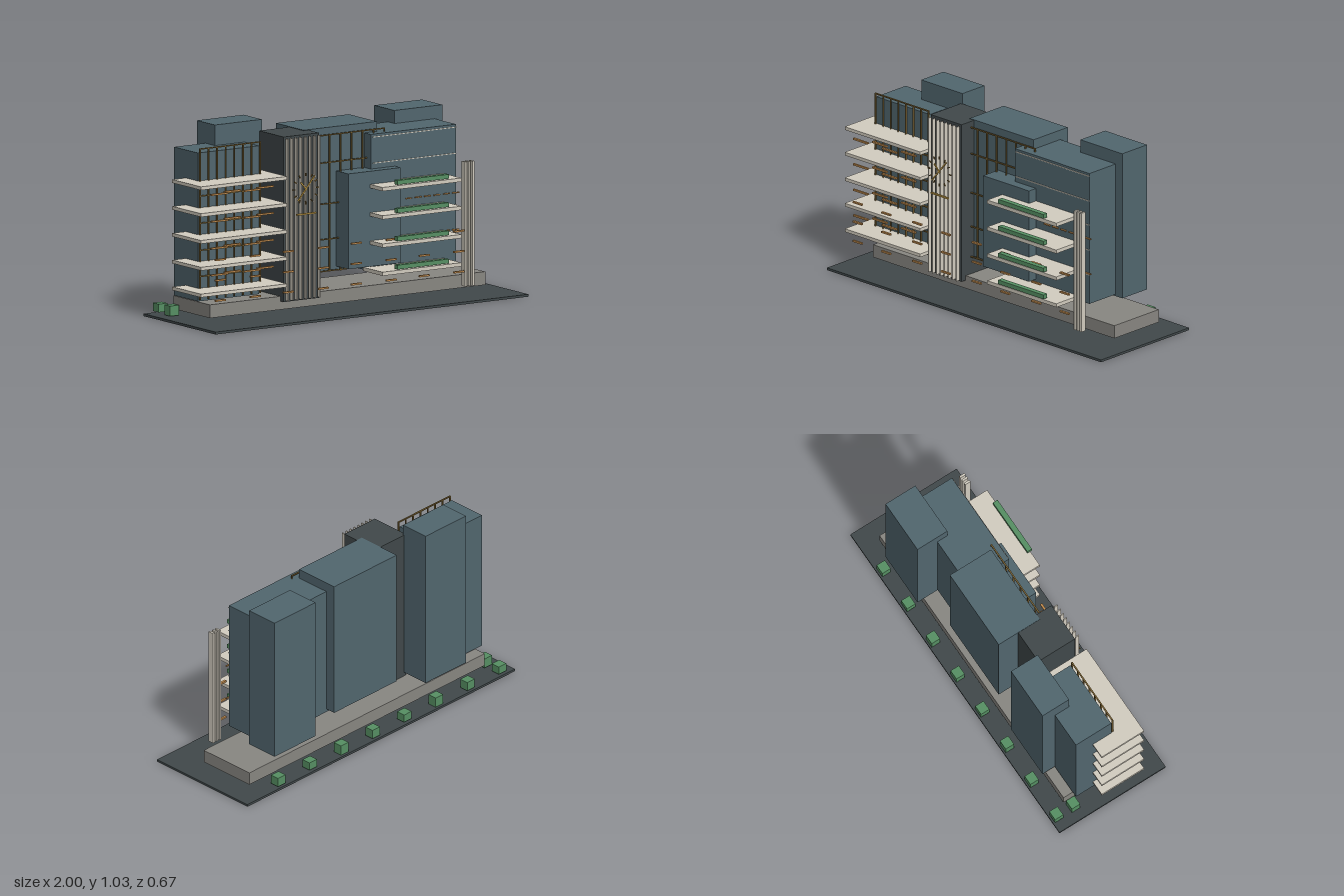
import * as THREE from 'three';

const mat = (color) => new THREE.MeshStandardMaterial({ color });
const GLASS = mat(0x51666e), STONE = mat(0xd2ccbf), DARK = mat(0x40484a), GREY = mat(0x888681);
const GREEN = mat(0x568f63), BRONZE = mat(0x7d6535), GOLD = mat(0xc9a24a), WOOD = mat(0xc28d50);

export function createModel() {
  const model = new THREE.Group();

  // box from its lower and upper limits on each axis
  const block = (name, m, x0, x1, y0, y1, z0, z1, parent = model) => {
    const mesh = new THREE.Mesh(new THREE.BoxGeometry(x1 - x0, y1 - y0, z1 - z0), m);
    mesh.position.set((x0 + x1) / 2, (y0 + y1) / 2, (z0 + z1) / 2);
    mesh.name = name;
    parent.add(mesh);
    return mesh;
  };
  // box from its centre and size
  const bar = (name, m, x, y, z, w, h, d, parent = model) =>
    block(name, m, x - w / 2, x + w / 2, y - h / 2, y + h / 2, z - d / 2, z + d / 2, parent);
  const group = (name) => {
    const g = new THREE.Group();
    g.name = name;
    model.add(g);
    return g;
  };

  // site and podium
  block('groundSlab', DARK, -1, 1, 0, 0.013, -0.335, 0.335);
  block('podium', GREY, -0.88, 0.88, 0.042, 0.113, -0.23, 0.108);

  // building volumes
  block('westBlock', GLASS, -0.915, -0.525, 0.126, 0.92, -0.175, 0.048);
  block('westRearBlock', GLASS, -0.715, -0.415, 0.136, 1.03, -0.254, -0.086);
  block('clockTower', DARK, -0.43, -0.205, 0.087, 0.97, -0.092, 0.139);
  block('centreBlock', GLASS, -0.237, 0.23, 0.205, 0.973, -0.215, 0.045);
  block('centreFrontBlock', GLASS, -0.03, 0.305, 0.225, 0.735, 0, 0.158);
  block('eastBlock', GLASS, 0.15, 0.695, 0.187, 0.92, -0.157, 0.105);
  block('eastRearBlock', GLASS, 0.438, 0.744, 0.177, 0.99, -0.282, -0.094);

  // west balconies with staggered wooden screens below
  const west = group('westBalconies');
  for (let i = 0; i < 5; i++) {
    const y = 0.187 + i * 0.1435;
    block('westBalcony', STONE, -1, -0.45, y - 0.009, y + 0.009, -0.068, 0.199, west);
    if (i === 0) continue;
    for (let k = 0; k < 4; k++)
      bar('balconyScreen', WOOD, -0.882 + k * 0.105, y - 0.041, k % 2 ? 0.165 : 0.2, 0.105, 0.009, 0.012, west);
  }

  // east balconies with planters
  const east = group('eastBalconies');
  for (let i = 0; i < 4; i++) {
    const y = 0.202 + i * 0.151;
    block('eastBalcony', STONE, 0.11, 0.614, y - 0.01, y + 0.01, 0.09, 0.273, east);
    bar('planter', GREEN, 0.364, y + 0.028, 0.268, 0.33, 0.023, 0.029, east);
  }

  // curtain wall grids: vertical mullions and horizontal rails
  const grid = (name, x0, x1, n, y0, y1, z, rails) => {
    const g = group(name);
    for (let i = 0; i < n; i++)
      block('mullion', BRONZE, x0 + (x1 - x0) * i / (n - 1) - 0.003, x0 + (x1 - x0) * i / (n - 1) + 0.003, y0, y1, z - 0.004, z + 0.004, g);
    for (const y of rails) block('rail', BRONZE, x0, x1, y - 0.003, y + 0.003, z - 0.004, z + 0.004, g);
  };
  grid('westCurtainWall', -0.91, -0.525, 8, 0.135, 0.945, 0.058, [0.942, 0.69, 0.545, 0.4, 0.26]);
  grid('centreCurtainWall', -0.228, 0.262, 8, 0.205, 0.94, 0.068, [0.937, 0.79, 0.57, 0.38, 0.21]);

  // string courses on the east block
  const courses = group('eastStringCourses');
  for (const y of [0.905, 0.765, 0.63, 0.49, 0.35])
    block('stringCourse', STONE, 0.16, 0.695, y - 0.002, y + 0.002, 0.105, 0.11, courses);
  for (const y of [0.555, 0.358])
    for (let i = 0; i < 6; i++) bar('trim', WOOD, 0.39 + i * 0.06, y, 0.11, 0.04, 0.006, 0.008, courses);

  // tower fins
  const fins = group('towerFins');
  for (let i = 0; i < 8; i++) bar('fin', STONE, -0.42 + i * 0.029, 0.528, 0.158, 0.006, 0.866, 0.022, fins);

  // clock face: ticks, hands and a bar below
  const clock = group('clock');
  clock.position.set(-0.322, 0.69, 0.186);
  for (let i = 0; i < 12; i++) {
    const a = i * Math.PI / 6;
    const tick = bar('tick', BRONZE, Math.sin(a) * 0.076, Math.cos(a) * 0.076, 0, 0.006, 0.016, 0.006, clock);
    tick.rotation.z = -a;
  }
  const hand = (name, angle, length, back) => {
    const h = bar(name, GOLD, Math.sin(angle) * (length - back) / 2, Math.cos(angle) * (length - back) / 2,
      0.004, 0.007, length + back, 0.006, clock);
    h.rotation.z = -angle;
  };
  hand('minuteHand', 0.7, 0.085, 0.08);
  hand('hourHand', -0.75, 0.05, 0.01);
  bar('clockBar', GOLD, 0.003, -0.135, 0, 0.125, 0.008, 0.01, clock);

  // slender columns at the east end
  const columns = group('eastColumns');
  for (const x of [0.686, 0.709, 0.732])
    block('column', STONE, x - 0.006, x + 0.006, 0.068, 0.735, 0.179, 0.212, columns);

  // floating wooden slats along the front
  const slats = group('frontSlats');
  for (let r = 0; r < 3; r++)
    for (let i = 0; i < 8; i++)
      bar('slat', WOOD, -0.888 + i * 0.217, 0.154 + r * 0.109, 0.217 + 0.008 * (i % 2), 0.065, 0.009, 0.012, slats);

  // clipped shrubs behind the building
  const shrubs = group('shrubs');
  for (let i = 0; i < 8; i++)
    bar('shrub', GREEN, -0.917 + i * 0.236, 0.045, -0.3, 0.056, 0.044 + 0.006 * (i % 3), 0.052, shrubs);
  bar('shrub', GREEN, -0.917, 0.045, -0.194, 0.056, 0.054, 0.052, shrubs);

  return model;
}
